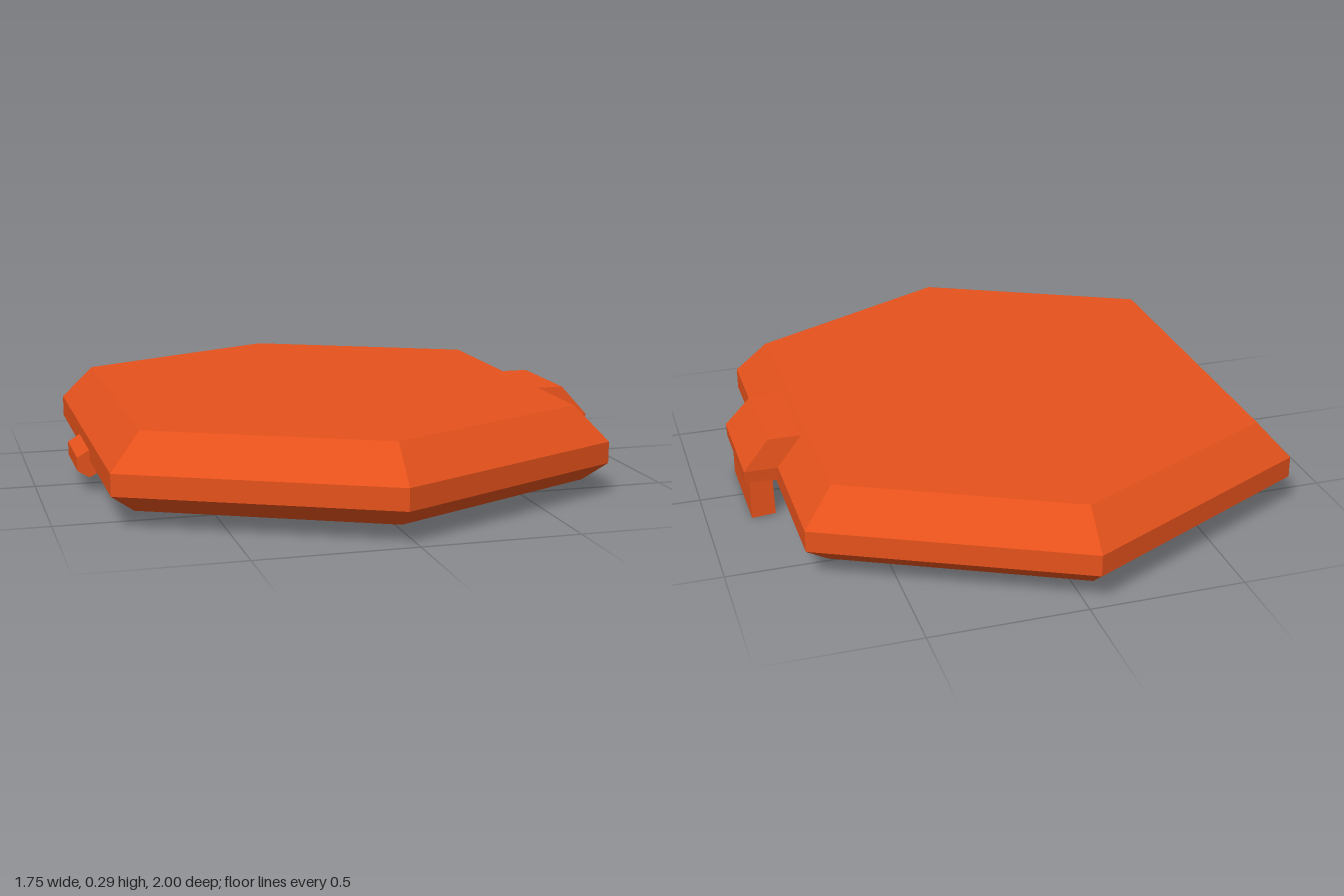
import * as THREE from 'three';

// Closed solid from successive rings of [x, y, z], each turning from +x to +z
function loft(rings) {
  const pos = [];
  const tri = (a, b, c) => pos.push(...a, ...b, ...c);
  const n = rings[0].length;
  for (let r = 0; r < rings.length - 1; r++) {
    const lo = rings[r], up = rings[r + 1];
    for (let i = 0; i < n; i++) {
      const j = (i + 1) % n;
      tri(lo[i], up[i], lo[j]);
      tri(lo[j], up[i], up[j]);
    }
  }
  const bottom = rings[0], top = rings[rings.length - 1];
  for (let i = 1; i < n - 1; i++) {
    tri(bottom[0], bottom[i], bottom[i + 1]);
    tri(top[0], top[i + 1], top[i]);
  }
  const g = new THREE.BufferGeometry();
  g.setAttribute('position', new THREE.Float32BufferAttribute(pos, 3));
  g.computeVertexNormals();
  return g;
}

// Pointed hexagon: half width, corner z, tip z
const hexRing = (y, w, c, t) =>
  [[w, y, -c], [w, y, c], [0, y, t], [-w, y, c], [-w, y, -c], [0, y, -t]];

const rectRing = (y, x0, x1, z) => [[x1, y, -z], [x1, y, z], [x0, y, z], [x0, y, -z]];

export function createModel() {
  const orange = new THREE.MeshStandardMaterial({ color: 0xe6521c, flatShading: true });
  orange.name = 'orange';
  const model = new THREE.Group();
  model.name = 'hexagonalLid';
  const add = (name, geometry) => {
    const mesh = new THREE.Mesh(geometry, orange);
    mesh.name = name;
    model.add(mesh);
    return mesh;
  };

  // Bevelled hexagonal plate, from the recessed underside out over the rim to the top
  add('plate', loft([
    hexRing(0.168, 0.70, 0.55, 0.897),
    hexRing(0.05, 0.725, 0.57, 0.93),
    hexRing(0.107, 0.799, 0.605, 1),
    hexRing(0.177, 0.799, 0.605, 1),
    hexRing(0.29, 0.70, 0.545, 0.893),
  ])).position.x = -0.035;

  // Latch: sloping cap and hanging tab
  add('latchCap', loft([
    [[0.871, 0.135, -0.175], [0.871, 0.135, 0.175], [0.72, 0.127, 0.175], [0.72, 0.127, -0.175]],
    rectRing(0.176, 0.70, 0.873, 0.179),
    rectRing(0.273, 0.65, 0.788, 0.164),
  ]));
  add('latchTab', loft([
    [[0.856, 0, -0.168], [0.856, 0, 0.168], [0.778, 0.006, 0.168], [0.778, 0.006, -0.168]],
    rectRing(0.15, 0.782, 0.856, 0.168),
  ]));

  // Six-sided hinge bar on the opposite edge
  const profile = new THREE.Shape([
    [-0.874, 0.073], [-0.835, 0.049], [-0.796, 0.071],
    [-0.796, 0.117], [-0.835, 0.14], [-0.874, 0.117],
  ].map(([x, y]) => new THREE.Vector2(x, y)));
  const hinge = new THREE.ExtrudeGeometry(profile, { depth: 0.246, bevelEnabled: false });
  add('hingeBar', hinge.translate(0, 0, -0.123));

  return model;
}
